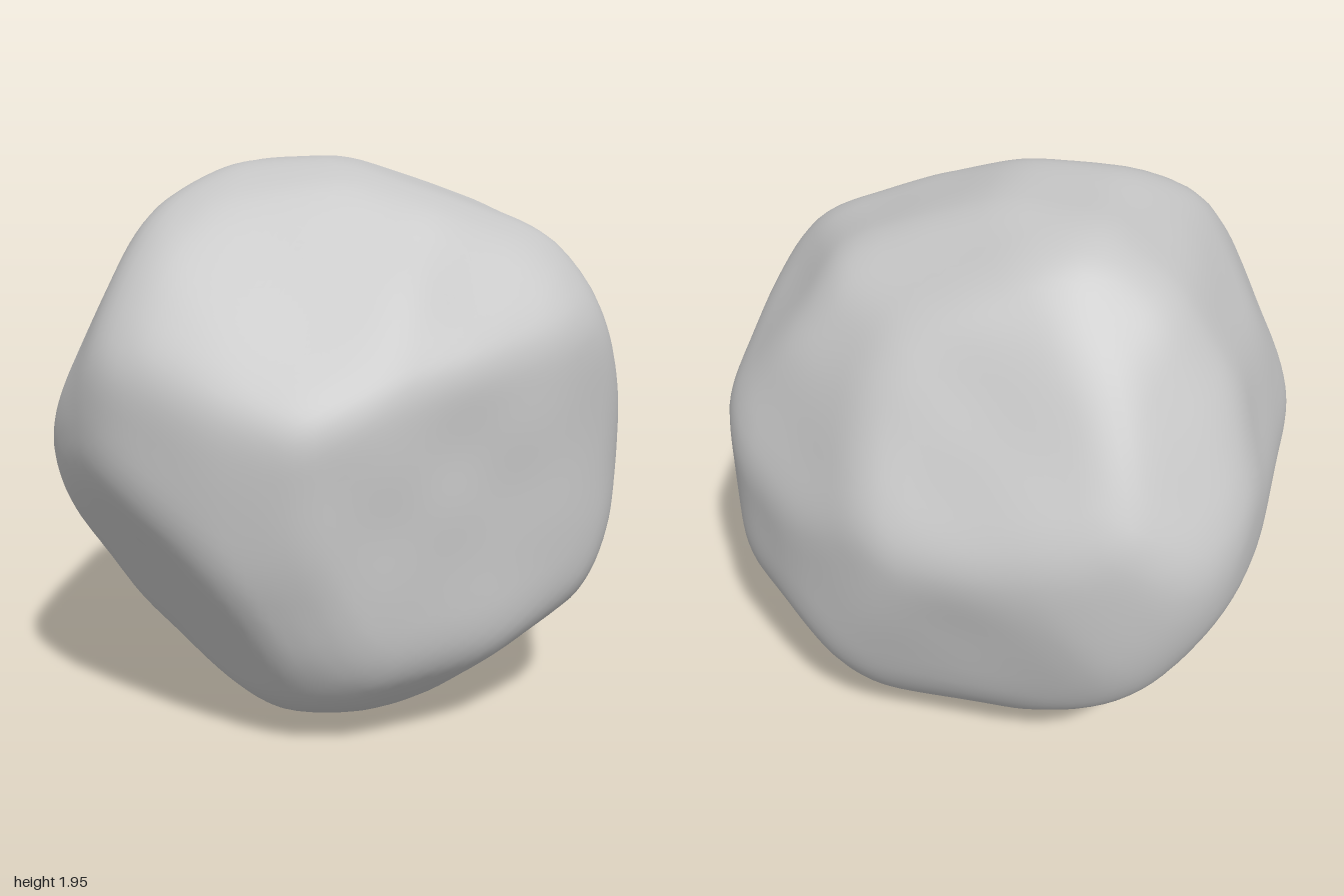
import * as THREE from 'three';
import { mergeVertices } from 'three/addons/utils/BufferGeometryUtils.js';

// Outlines, counter-clockwise, as [horizontal, vertical] pairs around the centre of the boulder
const FRONT = [[0.995, -0.15], [0.975, 0.12], [0.92, 0.37], [0.83, 0.57], [0.71, 0.71], [0.35, 0.83], [0, 0.955], [-0.38, 0.94],
  [-0.63, 0.79], [-0.85, 0.48], [-0.95, 0.2], [-1.02, 0], [-0.95, -0.25], [-0.72, -0.61], [-0.45, -0.83], [-0.05, -1.01],
  [0.4, -0.9], [0.65, -0.79], [0.85, -0.6], [0.95, -0.35]];
const SIDE = [[0.93, 0.05], [0.9, 0.2], [0.6, 0.68], [0.42, 0.86], [0.25, 0.945], [-0.15, 0.955], [-0.4, 0.88], [-0.55, 0.7],
  [-0.75, 0.37], [-0.93, 0.07], [-0.93, -0.05], [-0.86, -0.38], [-0.8, -0.62], [-0.65, -0.83], [-0.25, -0.95],
  [0.33, -1], [0.7, -0.87], [0.83, -0.65], [0.9, -0.35]];
const TOP = [[1, -0.2], [0.95, 0.23], [0.78, 0.42], [0.2, 0.8], [-0.05, 0.93], [-0.35, 0.9], [-0.72, 0.79], [-0.92, 0.57],
  [-1.02, 0.38], [-0.97, -0.4], [-0.92, -0.65], [-0.8, -0.8], [-0.4, -0.92], [0.17, -0.94], [0.6, -0.73], [0.85, -0.52], [0.97, -0.3]];

// Broad chipped faces: normal and distance from the centre
const FACETS = [
  [0.15, 0.6, 0.79, 0.79],    // upper front
  [0.35, 0.55, 0.76, 0.8],    // upper front, left shoulder
  [-0.63, 0.44, 0.65, 1.09],  // upper front, right shoulder
  [-0.88, 0.44, 0.22, 0.99],  // upper right side
  [0.7, 0.6, -0.3, 0.91],     // upper left side
  [0.5, 0.4, -0.75, 0.86],    // upper back
  [0.44, 0.61, -0.66, 0.875],
  [-0.32, 0.7, -0.64, 0.96],
  [0.25, 0.87, -0.43, 0.89],  // sloping crown
  [-0.6, 0.5, -0.6, 0.99],
  [0.4, -0.75, 0.5, 1.03],    // lower front
  [-0.58, -0.48, 0.65, 0.945],
  [0.58, -0.8, 0.2, 0.985],   // lower left side
  [-0.5, -0.75, -0.2, 0.96],  // lower right side
  [-0.85, -0.52, -0.14, 0.97],
  [0.6, -0.5, -0.6, 1.04],    // lower back
];

function buildPlanes() {
  const planes = FACETS.map(([x, y, z, h]) => new THREE.Vector3(x, y, z).normalize().divideScalar(h));
  const addOutline = (points, place) => points.forEach(([ax, ay], i) => {
    const [bx, by] = points[(i + 1) % points.length];
    const nx = by - ay, ny = ax - bx;
    const h = nx * ax + ny * ay;
    planes.push(place(nx / h, ny / h));
  });
  addOutline(FRONT, (a, b) => new THREE.Vector3(a, b, 0));
  addOutline(SIDE, (a, b) => new THREE.Vector3(0, b, a));
  addOutline(TOP, (a, b) => new THREE.Vector3(a, 0, b));
  return planes;
}

// Evenly spread offsets used to soften the edges between faces
function buildOffsets(count, size) {
  return Array.from({ length: count }, (_, i) => {
    const y = 1 - (2 * i + 1) / count, r = Math.sqrt(1 - y * y), a = i * 2.39996;
    return new THREE.Vector3(r * Math.cos(a), y, r * Math.sin(a)).multiplyScalar(size * (i % 2 ? 1 : 0.5));
  });
}

function boulderGeometry() {
  let geometry = new THREE.IcosahedronGeometry(1, 30);
  geometry.deleteAttribute('uv');
  geometry.deleteAttribute('normal');
  geometry = mergeVertices(geometry, 1e-4);
  const planes = buildPlanes(), offsets = buildOffsets(32, 0.15);
  const position = geometry.attributes.position;
  const d = new THREE.Vector3(), s = new THREE.Vector3();
  for (let i = 0; i < position.count; i++) {
    d.fromBufferAttribute(position, i).normalize();
    let sum = 0;
    for (const o of offsets) {
      s.copy(d).add(o).normalize();
      let k = 1 / 1.13;
      for (const p of planes) k = Math.max(k, p.dot(s));
      sum += 1 / k;
    }
    // gentle weathering
    const bumps = 0.004 * Math.sin(7 * d.x + 4 * d.y) * Math.sin(8 * d.z - 3 * d.y + 1)
      + 0.002 * Math.sin(13 * d.y + 5 * d.z) * Math.sin(11 * d.x + 2);
    d.multiplyScalar(sum / offsets.length + bumps);
    position.setXYZ(i, d.x, d.y, d.z);
  }
  // Centre it and stand it on the ground
  geometry.computeBoundingBox();
  const { min, max } = geometry.boundingBox;
  geometry.translate(-(min.x + max.x) / 2, -min.y, -(min.z + max.z) / 2);
  geometry.computeVertexNormals();
  return geometry;
}

export function createModel() {
  const group = new THREE.Group();
  group.name = 'rock';
  const stone = new THREE.MeshStandardMaterial({ color: 0xc4c4c4 });
  stone.name = 'grey stone';
  const boulder = new THREE.Mesh(boulderGeometry(), stone);
  boulder.name = 'boulder';
  group.add(boulder);
  return group;
}
